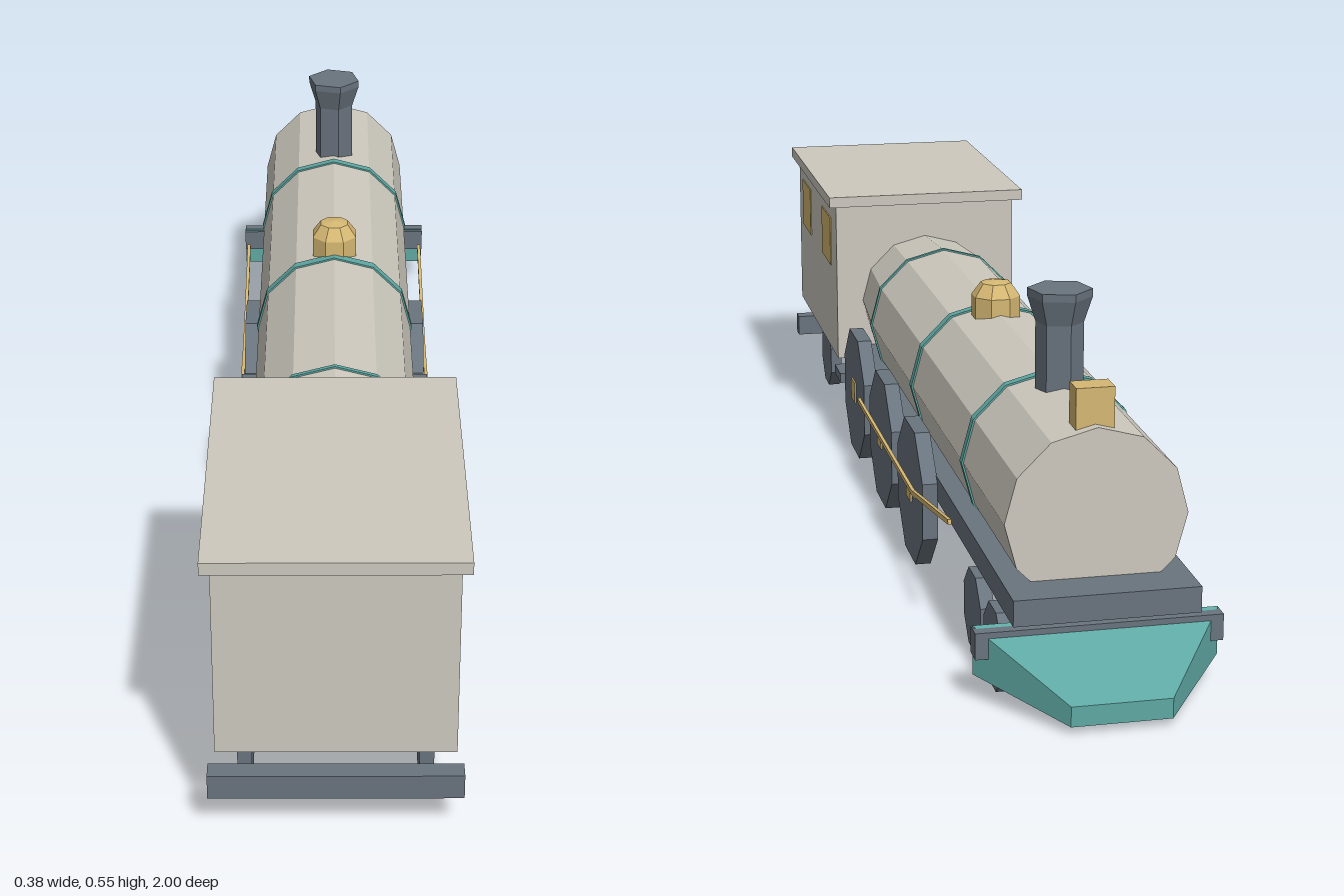
import * as THREE from 'three';

const mat = (name, color) => {
  const m = new THREE.MeshStandardMaterial({ color, flatShading: true });
  m.name = name;
  return m;
};

export function createModel() {
  const cream = mat('cream paint', 0xcdc9be);
  const grey = mat('slate grey', 0x69747e);
  const teal = mat('teal paint', 0x5fa8a3);
  const gold = mat('brass', 0xd6b873);

  const model = new THREE.Group();
  model.name = 'steamLocomotive';

  const add = (name, geo, material, x = 0, y = 0, z = 0) => {
    const mesh = new THREE.Mesh(geo, material);
    mesh.name = name;
    mesh.position.set(x, y, z);
    model.add(mesh);
    return mesh;
  };
  // Box given by its limits on each axis
  const box = (name, material, [x0, x1], [y0, y1], [z0, z1]) =>
    add(name, new THREE.BoxGeometry(x1 - x0, y1 - y0, z1 - z0), material,
      (x0 + x1) / 2, (y0 + y1) / 2, (z0 + z1) / 2);
  // Same box on both sides
  const pair = (name, material, [x0, x1], ys, zs) => {
    box(name + 'Left', material, [x0, x1], ys, zs);
    box(name + 'Right', material, [-x1, -x0], ys, zs);
  };

  // Running board and buffer beams
  box('runningBoard', grey, [-0.14, 0.14], [0.135, 0.175], [-0.915, 0.92]);
  box('rearBeam', grey, [-0.187, 0.187], [0.07, 0.11], [0.97, 1]);
  box('frontBeam', grey, [-0.187, 0.187], [0.072, 0.113], [-0.875, -0.843]);

  // Boiler, twelve-sided with an edge on top, slightly narrower near the cab
  const boilerY = 0.265;
  const boilerGeo = new THREE.LatheGeometry([
    [0, -0.845], [0.138, -0.845], [0.138, 0.3], [0.124, 0.49], [0, 0.49],
  ].map(([r, z]) => new THREE.Vector2(r, z)), 12);
  boilerGeo.rotateX(Math.PI / 2);
  add('boiler', boilerGeo, cream, 0, boilerY, 0);

  // Boiler bands
  for (const [z, width] of [[0.298, 0.008], [-0.117, 0.018], [-0.547, 0.016]]) {
    const geo = new THREE.CylinderGeometry(0.141, 0.141, width, 12);
    geo.rotateX(Math.PI / 2);
    add('boilerBand', geo, teal, 0, boilerY, z);
  }

  // Chimney with flared lip
  const chimneyGeo = new THREE.LatheGeometry([
    [0, 0.37], [0.037, 0.37], [0.037, 0.5], [0.05, 0.54], [0.05, 0.552], [0, 0.552],
  ].map(([r, y]) => new THREE.Vector2(r, y)), 6);
  add('chimney', chimneyGeo, grey, 0, 0, -0.61).rotation.y = 0.25;

  // Steam dome
  const domeGeo = new THREE.LatheGeometry([
    [0, 0.38], [0.042, 0.38], [0.042, 0.43], [0.026, 0.452], [0, 0.456],
  ].map(([r, y]) => new THREE.Vector2(r, y)), 8);
  add('steamDome', domeGeo, gold, 0, 0, -0.16).rotation.y = Math.PI / 8;

  box('headlamp', gold, [-0.029, 0.029], [0.385, 0.458], [-0.828, -0.788]);

  // Cab, roof and windows
  box('cab', cream, [-0.175, 0.175], [0.15, 0.457], [0.485, 0.995]);
  box('cabRoof', cream, [-0.19, 0.19], [0.456, 0.476], [0.467, 1]);
  for (const z of [0.884, 0.611]) {
    pair('cabWindow', gold, [0.174, 0.177], [0.322, 0.418], [z - 0.056, z + 0.056]);
  }
  pair('cabStep', grey, [0.115, 0.165], [0.086, 0.105], [0.528, 0.6]);

  // Octagonal wheels standing on a flat side
  const wheel = (name, flat, x, y, z, width) => {
    const r = flat / Math.cos(Math.PI / 8);
    const geo = new THREE.CylinderGeometry(r, r, width, 8);
    geo.rotateY(Math.PI / 8);
    geo.rotateZ(Math.PI / 2);
    add(name, geo, grey, x, y, z);
  };
  const drivers = [0.351, 0.056, -0.236];
  for (const side of [1, -1]) {
    for (const z of drivers) wheel('drivingWheel', 0.116, side * 0.152, 0.116, z, 0.026);
    for (const z of [0.834, -0.662, -0.807]) wheel('smallWheel', 0.062, side * 0.136, 0.063, z, 0.022);
  }
  drivers.forEach((z, i) => {
    const h = i === 0 ? 0.04 : 0.028;
    pair('wheelHub', gold, [0.16, 0.168], [0.102, 0.102 + h], [z - 0.02, z + 0.02]);
  });

  // Coupling rod along the wheels, then the rod rising to the cylinder
  const rods = [[[0.13, 0.26], [0.134, -0.32]], [[0.134, -0.3], [0.19, -0.61]]];
  for (const [[y0, z0], [y1, z1]] of rods) {
    for (const side of [1, -1]) {
      const geo = new THREE.BoxGeometry(0.006, 0.008, Math.hypot(y1 - y0, z1 - z0));
      const rod = add('driveRod', geo, gold, side * 0.171, (y0 + y1) / 2, (z0 + z1) / 2);
      rod.rotation.x = Math.atan2(y1 - y0, z0 - z1);
    }
  }

  // Cowcatcher: a box narrowed and lowered towards its tip
  const catcherGeo = new THREE.BoxGeometry(2, 1, 1);
  const p = catcherGeo.attributes.position;
  for (let i = 0; i < p.count; i++) {
    const tip = p.getZ(i) < 0, top = p.getY(i) > 0;
    p.setXYZ(i,
      p.getX(i) * (tip ? 0.075 : 0.186),
      tip ? (top ? 0.043 : 0.012) : (top ? 0.116 : 0.04),
      tip ? -1 : -0.85);
  }
  catcherGeo.computeVertexNormals();
  add('cowcatcher', catcherGeo, teal);

  return model;
}
